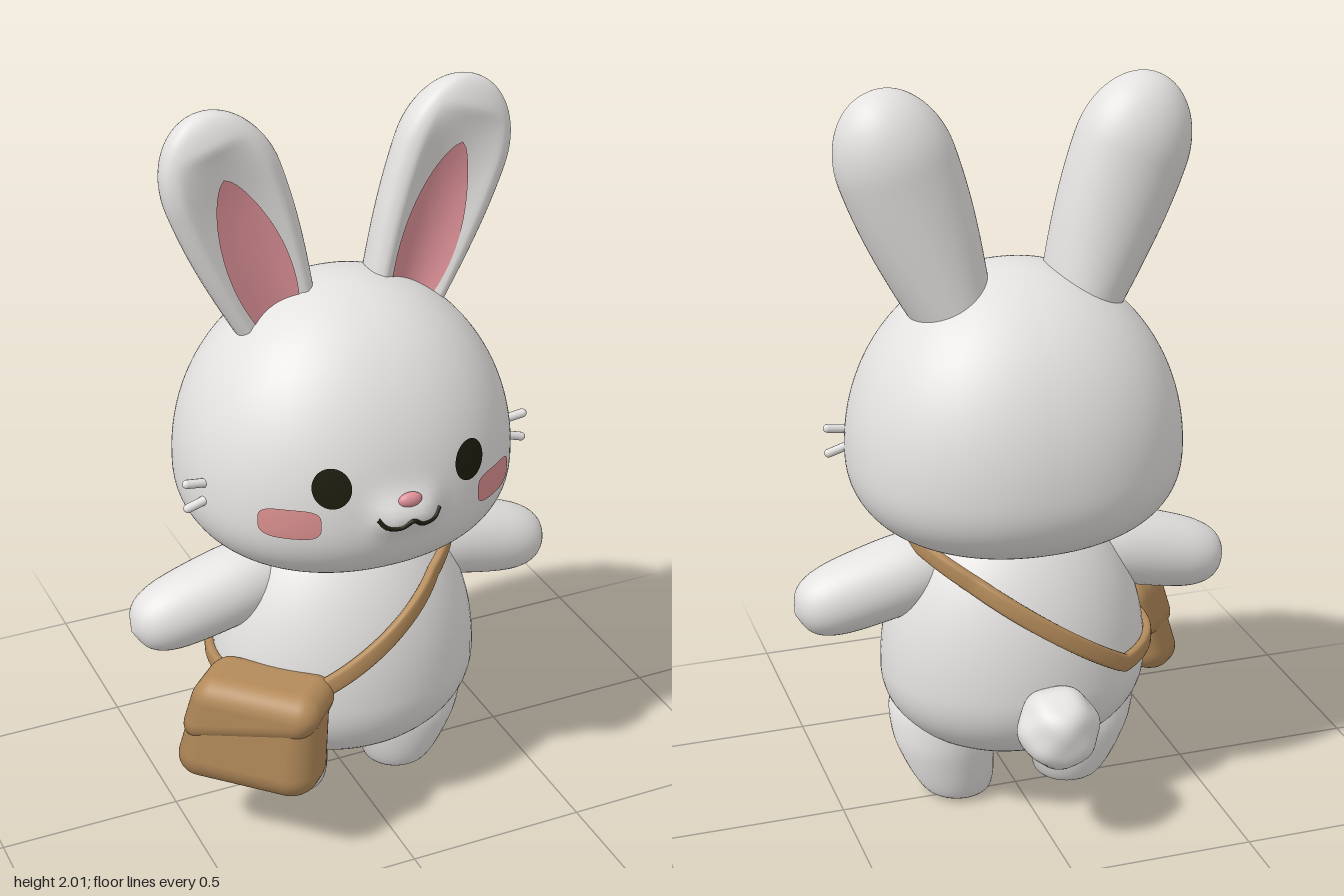
import * as THREE from 'three';
import { mergeVertices } from 'three/addons/utils/BufferGeometryUtils.js';
import { RoundedBoxGeometry } from 'three/addons/geometries/RoundedBoxGeometry.js';
import { ParametricGeometry } from 'three/addons/geometries/ParametricGeometry.js';

const mat = (name, color) => Object.assign(new THREE.MeshStandardMaterial({ color }), { name });
const TAU = Math.PI * 2;
const spow = (v, e) => Math.sign(v) * Math.abs(v) ** e;

// Smooth closed surface from f(u, v) -> [x, y, z]
function surface(f, nu, nv) {
  let g = new ParametricGeometry((u, v, p) => p.set(...f(u, v)), nu, nv);
  g.deleteAttribute('uv');
  g.deleteAttribute('normal');
  g = mergeVertices(g, 1e-5);
  g.computeVertexNormals();
  return g;
}

function lathe(points, steps = 28) {
  const curve = new THREE.SplineCurve(points.map(([x, y]) => new THREE.Vector2(x, y)));
  return new THREE.LatheGeometry(curve.getPoints(steps).map(p => p.setX(Math.max(0, p.x))), 40);
}

function deform(g, rule) {
  const a = g.attributes.position, p = new THREE.Vector3();
  for (let i = 0; i < a.count; i++) {
    rule(p.fromBufferAttribute(a, i));
    a.setXYZ(i, p.x, p.y, p.z);
  }
  return g;
}

// Egg forms: different heights and roundness above and below the widest level
const HEAD = { y0: 1.03, r: 0.45, up: 0.5, down: 0.265, pu: 2, pd: 2.5 };
const BODY = { y0: 0.4, r: 0.37, up: 0.5, down: 0.25, pu: 2, pd: 2.2 };
function eggRadius(e, y) {
  const t = Math.min(1, Math.abs(y - e.y0) / (y > e.y0 ? e.up : e.down));
  const p = y > e.y0 ? e.pu : e.pd;
  return e.r * (1 - t ** p) ** (1 / p);
}
function eggY(e, v) {
  const s = Math.sin(Math.PI * (v - 0.5));
  return e.y0 + s * (s > 0 ? e.up : e.down);
}

// Head surface with a small muzzle swelling
const POW = 2.15;
const muzzle = (x, y) => 0.038 * Math.exp(-((x / 0.085) ** 4) - ((y - 1.04) / 0.05) ** 2);
function headZ(x, y) {
  const r = eggRadius(HEAD, y);
  return 0.015 + 0.9 * r * (1 - Math.min(1, Math.abs(x) / r) ** POW) ** (1 / POW) + muzzle(x, y);
}
function headPoint(u, v) {
  const y = eggY(HEAD, v), r = eggRadius(HEAD, y), a = u * TAU;
  const x = r * spow(Math.sin(a), 2 / POW), c = Math.cos(a);
  return [x, y, 0.015 + 0.9 * r * spow(c, 2 / POW) + (c > 0 ? muzzle(x, y) : 0)];
}

// Thin patch following the face
function facePatch(cx, cy, rx, ry, n = 2) {
  return surface((u, v) => {
    const a = -u * TAU;
    const x = cx + rx * v * spow(Math.cos(a), 2 / n), y = cy + ry * v * spow(Math.sin(a), 2 / n);
    return [x, y, headZ(x, y) + 0.005];
  }, 40, 8);
}

// Ear: rounded back, hollowed front
const EAR_LEN = 0.637;
const earTip = t => (t < 0.68 ? 1 : Math.sqrt(Math.max(0, 1 - ((t - 0.68) / 0.32) ** 2)));
const earWidth = t => 0.155 * (0.66 + 0.34 * Math.sin(Math.PI / 2 * Math.min(1, t / 0.68))) * earTip(t);
function earFront(t, s) {
  const hollow = Math.max(0, 1 - (s / 0.75) ** 2) * Math.max(0, 1 - (t / 0.88) ** 6);
  return 0.068 * earTip(t) * Math.max(0, 1 - s * s) ** 0.3 - 0.045 * hollow;
}
function earPoint(u, v) {
  const t = Math.sin(v * Math.PI / 2), a = u * TAU, s = Math.sin(a), c = Math.cos(a);
  return [earWidth(t) * s, t * EAR_LEN, c > 0 ? earFront(t, s) : 0.13 * earTip(t) * c];
}
function innerEarPoint(u, v) {
  const t = 0.04 + 0.7 * v;
  const x = (2 * u - 1) * 0.082 * Math.max(0, Math.sin(Math.PI * (0.16 + 0.84 * v))) ** 0.65;
  return [x, t * EAR_LEN, earFront(t, x / earWidth(t)) + 0.004];
}

// Strap: a slanting loop around the body
function strapCentre(a) {
  let y = 0.6, r = 0.3;
  for (let i = 0; i < 40; i++) {
    r = Math.max(0.285, eggRadius(BODY, y)) + 0.008;
    y += 0.5 * (Math.max(0.45, 0.605 + 0.66 * r * Math.sin(a)) - y);
  }
  return new THREE.Vector3(r * Math.sin(a), y, 0.025 + 0.87 * r * Math.cos(a));
}
function strapPoint(u, v) {
  const a = v * TAU, b = u * TAU, p = strapCentre(a);
  const tangent = strapCentre(a + 0.02).sub(strapCentre(a - 0.02)).normalize();
  const out = new THREE.Vector3(Math.sin(a), 0, Math.cos(a));
  const across = new THREE.Vector3().crossVectors(tangent, out).normalize();
  out.crossVectors(across, tangent);
  p.addScaledVector(out, 0.013 * spow(Math.cos(b), 0.6)).addScaledVector(across, 0.025 * spow(Math.sin(b), 0.6));
  return p.toArray();
}

export function createModel() {
  const model = new THREE.Group();
  model.name = 'rabbit';
  const fur = mat('fur', 0xe4e2e0), pink = mat('pink', 0xe0939a), blush = mat('blush', 0xdc9090);
  const dark = mat('dark', 0x1d1c0e), leather = mat('leather', 0xb38a5a);
  const add = (name, geometry, material, parent = model) => {
    const m = new THREE.Mesh(geometry, material);
    m.name = name;
    parent.add(m);
    return m;
  };

  // Head and body
  add('head', surface(headPoint, 128, 80), fur);
  add('body', surface((u, v) => {
    const y = eggY(BODY, v), r = eggRadius(BODY, y);
    return [r * Math.sin(u * TAU), y, 0.025 + 0.85 * r * Math.cos(u * TAU)];
  }, 64, 40), fur);

  // Paired parts
  for (const [side, s] of [['left', 1], ['right', -1]]) {
    const ear = new THREE.Group();
    ear.name = side + 'Ear';
    ear.position.set(0.165 * s, 1.4, 0);
    ear.rotation.z = -0.344 * s;
    model.add(ear);
    add(side + 'OuterEar', surface(earPoint, 64, 40), fur, ear);
    add(side + 'InnerEar', surface(innerEarPoint, 16, 30), pink, ear);

    const arm = add(side + 'Arm', lathe([[0, -0.03], [0.075, 0], [0.105, 0.1], [0.105, 0.25],
      [0.092, 0.36], [0.06, 0.42], [0, 0.445]]), fur);
    arm.position.set(0.18 * s, 0.72, 0.02);
    arm.rotation.z = -1.83 * s;

    const leg = add(side + 'Leg', deform(lathe([[0, 0], [0.075, 0.002], [0.105, 0.035], [0.128, 0.12],
      [0.135, 0.2], [0.115, 0.3], [0.05, 0.36], [0, 0.37]]), p => { p.x += s * 0.25 * p.y; }), fur);
    leg.position.set(0.16 * s, 0, 0.03);

    add(side + 'Eye', facePatch(0.19 * s, 1.13, 0.047, 0.053), dark);
    add(side + 'Cheek', facePatch(0.285 * s, 1.03, 0.067, 0.042, 3.5), blush);

    for (const [level, y, tilt] of [['Upper', 1.077, 0.12], ['Lower', 1.018, -0.3]]) {
      const whisker = add(side + level + 'Whisker', new THREE.CapsuleGeometry(0.012, 0.055, 4, 10), fur);
      whisker.position.set(0.452 * s, y, 0.13);
      whisker.rotation.z = s * (tilt - Math.PI / 2);
    }
  }

  // Nose and mouth
  const nose = add('nose', new THREE.SphereGeometry(1, 24, 16), pink);
  nose.scale.set(0.032, 0.02, 0.016);
  nose.position.set(0, 1.085, headZ(0, 1.085) + 0.002);
  const lip = [[-0.085, 1.042], [-0.065, 1.02], [-0.03, 1.016], [0, 1.034], [0.03, 1.016], [0.065, 1.02], [0.085, 1.042]];
  add('mouth', new THREE.TubeGeometry(new THREE.CatmullRomCurve3(
    lip.map(([x, y]) => new THREE.Vector3(x, y, headZ(x, y) + 0.001))), 40, 0.006, 8), dark);

  // Fluffy tail
  let puff = new THREE.IcosahedronGeometry(0.108, 8);
  puff.deleteAttribute('uv');
  puff.deleteAttribute('normal');
  puff = deform(mergeVertices(puff, 1e-5), p => p.multiplyScalar(
    1 + 0.04 * Math.sin(48 * p.x + 1) * Math.sin(45 * p.y) + 0.04 * Math.sin(42 * p.z + 2) * Math.cos(50 * p.y)));
  puff.computeVertexNormals();
  add('tail', puff, fur).position.set(-0.005, 0.355, -0.348);

  // Shoulder bag
  add('strap', surface(strapPoint, 16, 120), leather);
  const bag = new THREE.Group();
  bag.name = 'bag';
  bag.position.set(-0.35, 0.37, 0.25);
  bag.rotation.y = -Math.PI / 4;
  model.add(bag);
  const lean = p => {
    p.x = p.x * (1 - 0.7 * p.y) + 0.12 * p.y;
    p.z -= 0.16 * p.y;
  };
  add('pouch', deform(new RoundedBoxGeometry(0.38, 0.3, 0.18, 6, 0.075), lean), leather, bag);
  add('flap', deform(new RoundedBoxGeometry(0.39, 0.15, 0.2, 6, 0.06), p => {
    if (p.y < 0) p.y += 0.2 * p.x;
    p.y += 0.078;
    lean(p);
  }), leather, bag);

  return model;
}
